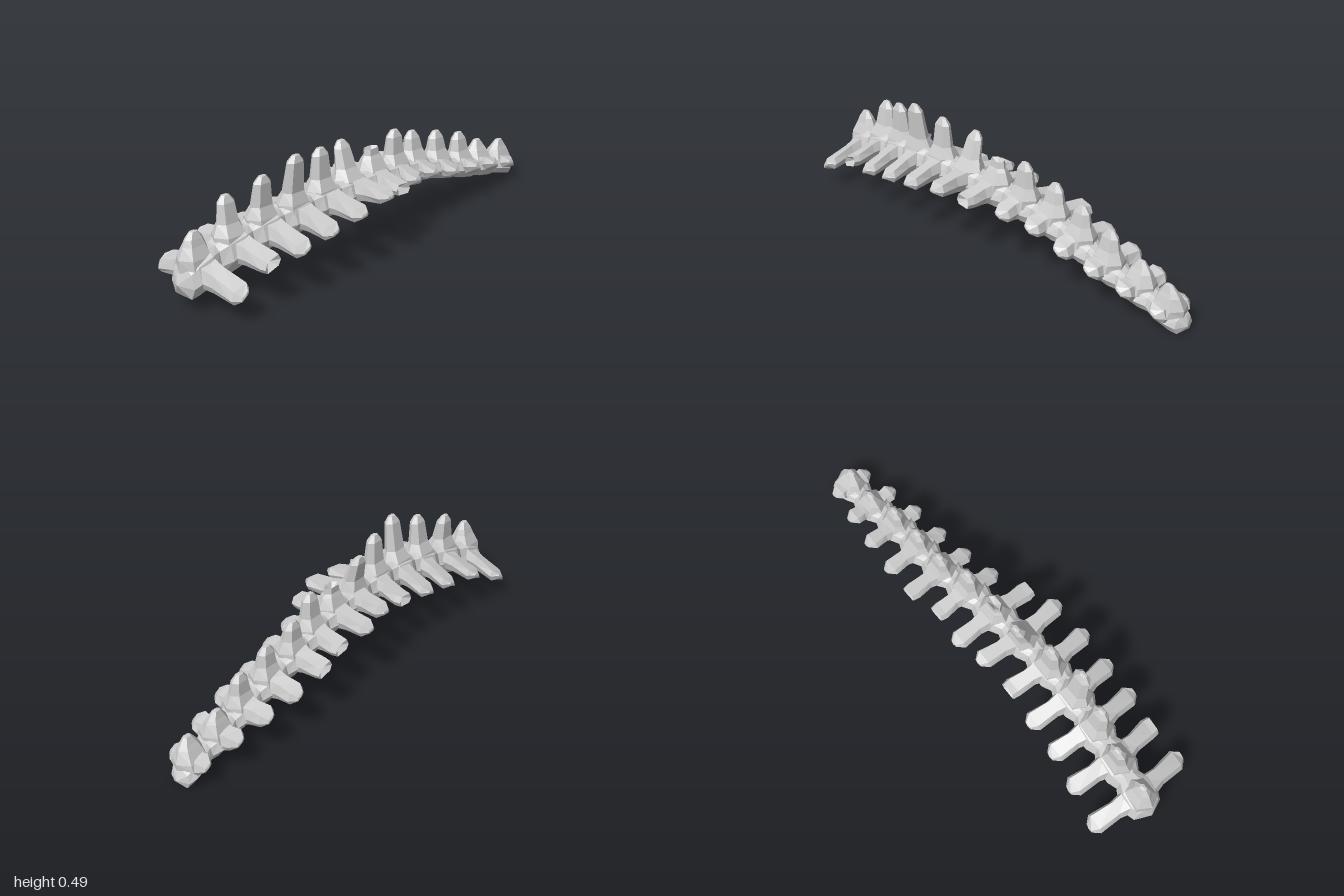
import * as THREE from 'three';

const bone = new THREE.MeshStandardMaterial({ color: 0xcccccc, flatShading: true });
bone.name = 'bone';

// z, x, underside y, body height, spine tip x, spine tip y, left tip x, right tip x, side tip y
const VERTEBRAE = [
  [0.915, -0.012, 0.075, 0.125, -0.01, 0.30, 0.24, -0.245, 0.108],
  [0.757, 0.0, 0.125, 0.12, -0.015, 0.395, 0.215, -0.225, 0.175],
  [0.607, 0.01, 0.16, 0.115, 0.025, 0.44, 0.24, -0.20, 0.19],
  [0.46, 0.025, 0.185, 0.11, 0.05, 0.49, 0.24, -0.195, 0.215],
  [0.305, 0.02, 0.20, 0.105, 0.02, 0.472, 0.24, -0.175, 0.24],
  [0.145, 0.01, 0.205, 0.095, -0.03, 0.452, 0.225, -0.20, 0.265],
  [-0.012, -0.01, 0.205, 0.09, -0.015, 0.385, 0.17, -0.225, 0.25],
  [-0.163, -0.03, 0.19, 0.085, -0.03, 0.42, 0.115, -0.20, 0.23],
  [-0.307, -0.055, 0.165, 0.085, -0.065, 0.372, 0.085, -0.235, 0.215],
  [-0.46, -0.06, 0.13, 0.08, -0.065, 0.335, 0.07, -0.24, 0.175],
  [-0.615, -0.065, 0.09, 0.075, -0.07, 0.29, 0.055, -0.23, 0.15],
  [-0.765, -0.085, 0.055, 0.07, -0.09, 0.215, 0.03, -0.215, 0.12],
  [-0.915, -0.095, 0.025, 0.065, -0.085, 0.18, 0.0, -0.19, 0.08],
];
// Chipped tips, by vertebra index
const CHIPPED = { spine: [6], left: [1, 6], right: [4, 7, 8] };

// Skin a list of equal-length rings, closing both ends with a fan to a point
function loft(name, rings, startPoint, endPoint) {
  const n = rings[0].length;
  const tris = [];
  for (let j = 0; j < n; j++) {
    const k = (j + 1) % n;
    tris.push([startPoint, rings[0][k], rings[0][j]]);
    for (let i = 0; i + 1 < rings.length; i++) {
      const a = rings[i], b = rings[i + 1];
      tris.push([a[j], a[k], b[k]], [a[j], b[k], b[j]]);
    }
    const last = rings[rings.length - 1];
    tris.push([last[j], last[k], endPoint]);
  }
  // Turn the skin outward if its enclosed volume is negative
  let volume = 0;
  const o = new THREE.Vector3(...startPoint);
  for (const t of tris) {
    const [a, b, c] = t.map((p) => new THREE.Vector3(...p).sub(o));
    volume += a.dot(b.cross(c));
  }
  if (volume < 0) tris.forEach((t) => t.reverse());
  const geo = new THREE.BufferGeometry();
  geo.setAttribute('position', new THREE.Float32BufferAttribute(tris.flat(2), 3));
  geo.computeVertexNormals();
  const mesh = new THREE.Mesh(geo, bone);
  mesh.name = name;
  return mesh;
}

const mix = (a, b, t) => a.map((v, i) => v + (b[i] - v) * t);

// Octagonal cross-section of the vertebral body
const BODY = [[-0.7, 0], [0.7, 0], [1, 0.4], [0.75, 0.85], [0.35, 1], [-0.35, 1], [-0.75, 0.85], [-1, 0.4]];
const bodyRing = ([z, x, y, h], w, hs) => BODY.map(([u, v]) => [x + u * w, y + v * h * hs, z]);

function makeBody(i) {
  const v = VERTEBRAE[i].slice(0, 4);
  const w = 0.079 - i * 0.0012;
  const first = i === 0, last = i === VERTEBRAE.length - 1;
  const front = first ? [0.97, -0.012, 0.055, 0.115] : mix(VERTEBRAE[i - 1].slice(0, 4), v, 0.5);
  const back = last ? [-0.978, -0.105, 0.0, 0.065] : mix(v, VERTEBRAE[i + 1].slice(0, 4), 0.5);
  const rings = [
    bodyRing(front, w * (first ? 0.85 : 0.74), 1),
    bodyRing(mix(v, front, 0.5), w, 1.08),
    bodyRing(mix(v, back, 0.5), w, 1.08),
    bodyRing(back, w * 0.74, 1),
  ];
  const centre = (e, z) => [e[1], e[2] + e[3] * 0.45, z];
  return loft('vertebralBody', rings, centre(front, first ? 1 : front[0]), centre(back, last ? -1 : back[0]));
}

// Upright spine: flared arch at the base, slim blade, faceted tip
function makeSpine(i) {
  const [z, x, y, h, tx, ty] = VERTEBRAE[i];
  const base = y + h;
  const chipped = CHIPPED.spine.includes(i);
  const ring = (py, hx, hz) => {
    const cx = x + (tx - x) * Math.max(0, (py - base) / (ty - base));
    return [[hx, 0.6], [0, 1], [-hx, 0.6], [-hx, -0.6], [0, -1], [hx, -0.6]].map(([a, b]) => [cx + a, py, z + b * hz]);
  };
  const rings = [
    ring(y + h * 0.6, 0.058, 0.07),
    ring(base, 0.05, 0.072),
    ring(base + 0.045, 0.029, 0.052),
    ring(ty - 0.03, 0.021, 0.041),
    ring(ty - 0.003, chipped ? 0.019 : 0.01, chipped ? 0.036 : 0.018),
  ];
  return loft('uprightSpine', rings, [x, y + h * 0.6, z], [tx, ty - (chipped ? 0.03 : 0), z]);
}

// Side wing: hexagonal blade that follows the slope of the column
const BLADE = [[-0.045, -0.004], [-0.032, 0.028], [0.032, 0.028], [0.045, -0.004], [0.032, -0.028], [-0.032, -0.028]];
function makeWing(i, side) {
  const [z, x, y, h, , , leftX, rightX, ty] = VERTEBRAE[i];
  const tipX = side > 0 ? leftX : rightX;
  const chipped = CHIPPED[side > 0 ? 'left' : 'right'].includes(i);
  const tipZ = z - (i < 6 ? 0.028 : 0);
  const a = VERTEBRAE[Math.max(0, i - 1)], b = VERTEBRAE[Math.min(12, i + 1)];
  const slope = (a[2] - b[2]) / (a[0] - b[0]);
  const root = [x + side * 0.03, y + h * 0.6, z - (i < 6 ? 0.01 : 0)];
  const ring = (c, sz, sy) => BLADE.map(([dz, dy]) => [c[0], c[1] + dy * sy + dz * slope, c[2] + dz * sz]);
  const shoulder = [tipX - side * 0.032, ty, tipZ];
  const end = [tipX - side * 0.004, ty, tipZ];
  const rings = [
    ring(root, 1.15, 1.5),
    ring(mix(root, shoulder, 0.45), 0.8, 1.2),
    ring(shoulder, 0.95, 0.9),
    ring(end, chipped ? 0.85 : 0.4, chipped ? 0.8 : 0.3),
  ];
  const tip = [tipX - (chipped ? side * 0.035 : 0), ty, tipZ];
  return loft(side > 0 ? 'leftWing' : 'rightWing', rings, root, tip);
}

export function createModel() {
  const model = new THREE.Group();
  model.name = 'spinalColumn';
  VERTEBRAE.forEach((_, i) => {
    const vertebra = new THREE.Group();
    vertebra.name = `vertebra${i + 1}`;
    vertebra.add(makeBody(i), makeSpine(i), makeWing(i, 1), makeWing(i, -1));
    model.add(vertebra);
  });
  return model;
}
